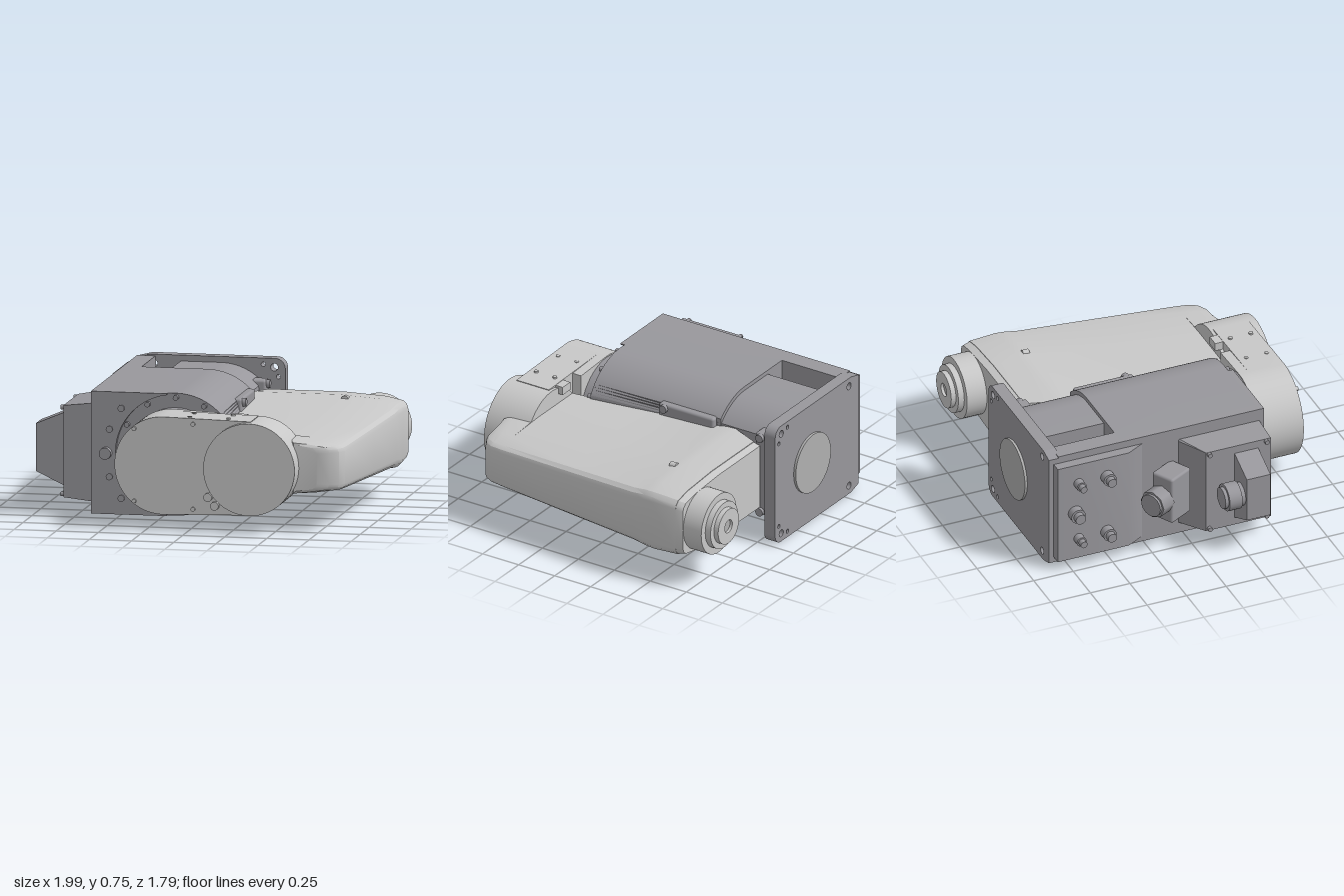
import * as THREE from 'three';
import { toCreasedNormals } from 'three/addons/utils/BufferGeometryUtils.js';
import { RoundedBoxGeometry } from 'three/addons/geometries/RoundedBoxGeometry.js';

export function createModel() {
  const root = new THREE.Group();
  const mat = (name, color) => {
    const m = new THREE.MeshStandardMaterial({ color });
    m.name = name;
    return m;
  };
  const dark = mat('body grey', 0x98979c);
  const light = mat('arm grey', 0xc8c8c8);
  const disc = mat('disc grey', 0xb0b0b0);
  const black = mat('cover grey', 0x5c5c60);
  const CY = 0.385;

  const add = (name, geo, m, parent = root) => {
    const mesh = new THREE.Mesh(geo, m);
    mesh.name = name;
    parent.add(mesh);
    return mesh;
  };
  // box given by its min and max corners
  const box = (name, m, x0, x1, y0, y1, z0, z1, r = 0) => {
    const s = [x1 - x0, y1 - y0, z1 - z0];
    const g = r ? new RoundedBoxGeometry(...s, 3, r) : new THREE.BoxGeometry(...s);
    return add(name, g.translate((x0 + x1) / 2, (y0 + y1) / 2, (z0 + z1) / 2), m);
  };
  // cylinder along z
  const cylZ = (name, m, x, y, z0, z1, r, seg = 48) =>
    add(name, new THREE.CylinderGeometry(r, r, z1 - z0, seg).rotateX(Math.PI / 2).translate(x, y, (z0 + z1) / 2), m);
  // cylinder along x
  const cylX = (name, m, x0, x1, y, z, r, seg = 20) =>
    add(name, new THREE.CylinderGeometry(r, r, x1 - x0, seg).rotateZ(Math.PI / 2).translate((x0 + x1) / 2, y, z), m);
  const extrude = (shape, z0, z1) =>
    new THREE.ExtrudeGeometry(shape, { depth: z1 - z0, bevelEnabled: false, curveSegments: 32 }).translate(0, 0, z0);
  // skin over rings that run anticlockwise seen from +z, ordered by rising z
  const loft = (rings) => {
    const v = [];
    const n = rings[0].length;
    for (let s = 0; s < rings.length - 1; s++) for (let i = 0; i < n; i++) {
      const j = (i + 1) % n;
      const [a, b, c, d] = [rings[s][i], rings[s][j], rings[s + 1][j], rings[s + 1][i]];
      v.push(...a, ...b, ...c, ...a, ...c, ...d);
    }
    const first = rings[0], last = rings[rings.length - 1];
    for (let i = 1; i < n - 1; i++) {
      v.push(...first[0], ...first[i + 1], ...first[i]);
      v.push(...last[0], ...last[i], ...last[i + 1]);
    }
    const g = new THREE.BufferGeometry();
    g.setAttribute('position', new THREE.Float32BufferAttribute(v, 3));
    return toCreasedNormals(g, 0.5);
  };

  // Body: flat on the left, round on the right, trimmed by a slanted side
  const bodyPart = (name, x0, r, z0, z1, limit) => {
    const s = new THREE.Shape();
    s.moveTo(x0, 0.39 - r);
    s.lineTo(-0.15, 0.39 - r);
    s.absarc(-0.15, 0.39, r, -Math.PI / 2, Math.PI / 2, false);
    s.lineTo(x0, 0.39 + r);
    const g = extrude(s, z0, z1);
    const p = g.attributes.position;
    for (let i = 0; i < p.count; i++) p.setX(i, Math.min(p.getX(i), limit(p.getZ(i))));
    return add(name, toCreasedNormals(g, 0.5), dark);
  };
  bodyPart('bodyHousing', -0.65, 0.36, -0.4, 0.47, (z) => 0.13 + z * 0.07);
  bodyPart('rearHousing', -0.39, 0.335, -0.8, -0.4, () => 0.1);
  box('rearWall', dark, -0.65, -0.54, 0.03, 0.75, -0.8, -0.4);
  box('pocketFloor', dark, -0.54, -0.39, 0.03, 0.58, -0.8, -0.4);
  box('bottomCover', black, -0.55, -0.22, 0.022, 0.06, -0.76, -0.42);
  for (const x of [-0.52, -0.385, -0.25]) for (const z of [-0.72, -0.46])
    add('coverBolt', new THREE.CylinderGeometry(0.01, 0.01, 0.012, 10).translate(x, 0.018, z), dark);

  // Front plate cut by the round joint
  const plate = new THREE.Shape();
  plate.moveTo(-0.65, 0.03);
  plate.lineTo(-0.2, 0.03);
  plate.absarc(-0.15, 0.39, 0.355, -Math.PI / 2 - 0.15, Math.PI / 2 + 0.15, true);
  plate.lineTo(-0.2, 0.75);
  plate.lineTo(-0.65, 0.75);
  add('frontPlate', extrude(plate, 0.47, 0.5), dark);
  for (const s of [-1, 1]) for (const [x, y] of [[-0.47, 0.265], [-0.54, 0.14]])
    cylZ('plateBolt', dark, x, 0.39 + s * y, 0.5, 0.51, 0.02, 16);
  cylZ('plateKnob', dark, -0.56, 0.39, 0.5, 0.54, 0.035, 20);
  for (let i = 0; i < 12; i++) {
    const a = (i / 12) * Math.PI * 2;
    cylZ('jointBolt', dark, -0.15 + Math.cos(a) * 0.335, 0.39 + Math.sin(a) * 0.335, 0.47, 0.495, 0.016, 12);
  }

  // Rear flange with mounting holes
  const fl = new THREE.Shape();
  fl.moveTo(-0.65, 0.03);
  fl.lineTo(-0.57, 0.005);
  fl.lineTo(0.17, 0.005);
  fl.absarc(0.17, 0.065, 0.06, -Math.PI / 2, 0, false);
  fl.lineTo(0.23, 0.7);
  fl.absarc(0.17, 0.7, 0.06, 0, Math.PI / 2, false);
  fl.lineTo(-0.57, 0.76);
  fl.lineTo(-0.65, 0.74);
  for (const s of [-1, 1]) for (const [x, y, r] of [[0.165, 0.325, 0.022], [0.1, 0.34, 0.013], [0.19, 0.27, 0.013], [-0.55, 0.325, 0.022]]) {
    const h = new THREE.Path();
    h.absarc(x, 0.3825 + s * y, r, 0, Math.PI * 2, true);
    fl.holes.push(h);
  }
  add('rearFlange', extrude(fl, -0.86, -0.785), dark);
  cylZ('rearDisc', disc, -0.15, CY, -0.875, -0.855, 0.185);

  // Bolted pad between body and arm
  box('sidePad', dark, 0, 0.14, 0.12, 0.65, -0.37, 0.01, 0.015);
  box('sidePadRear', dark, 0, 0.14, 0.12, 0.65, -0.76, -0.66, 0.015);
  for (const y of [0.145, 0.625]) for (const z of [-0.03, -0.7]) cylX('padBolt', dark, 0.12, 0.16, y, z, 0.025);

  // Left rear connector panel
  const slab = (z, x, h) => [[x, CY - h, z], [-0.64, CY - h, z], [-0.64, CY + h, z], [x, CY + h, z]];
  add('connectorPanel', loft([slab(-0.83, -0.71, 0.32), slab(-0.38, -0.71, 0.32), slab(-0.27, -0.65, 0.32)]), dark);
  for (const [y, z, r] of [[0.58, -0.7, 0.03], [0.58, -0.52, 0.04], [0.38, -0.72, 0.045], [0.2, -0.7, 0.03], [0.2, -0.52, 0.04]]) {
    cylX('socket', dark, -0.76, -0.7, y, z, r);
    cylX('socketTip', dark, -0.795, -0.75, y, z, r * 0.7);
  }
  // Tilted plug
  const plug = new THREE.Group();
  plug.name = 'tiltedPlug';
  plug.position.set(-0.7, CY, -0.06);
  plug.rotation.y = 0.5;
  root.add(plug);
  add('plugBase', new RoundedBoxGeometry(0.15, 0.3, 0.18, 2, 0.015).translate(0, 0, -0.07), dark, plug);
  add('plugNeck', new THREE.CylinderGeometry(0.085, 0.085, 0.1, 8).rotateX(Math.PI / 2).translate(0, 0, -0.2), dark, plug);
  add('plugCap', new THREE.CylinderGeometry(0.07, 0.07, 0.02, 24).rotateX(Math.PI / 2).translate(0, 0, -0.255), dark, plug);

  // Left front terminal box and its cable outlet
  const term = (z, x, h) => [[x, CY - h, z], [-0.64, CY - 0.29, z], [-0.64, CY + 0.29, z], [x, CY + h, z]];
  add('terminalBox', loft([term(-0.04, -0.66, 0.28), term(0.06, -0.82, 0.27), term(0.47, -0.82, 0.27)]), dark);
  const out = (z) => [[-1, 0.25, z], [-0.81, 0.16, z], [-0.81, 0.61, z], [-1, 0.53, z]];
  add('cableOutlet', loft([out(0.24), out(0.39)]), dark);
  cylZ('outletNeck', dark, -0.915, CY, 0.21, 0.25, 0.07, 24);
  cylZ('outletGland', dark, -0.915, CY, 0.135, 0.215, 0.083, 24);
  cylZ('outletTip', dark, -0.915, CY, 0.115, 0.14, 0.065, 24);
  for (const y of [0.13, 0.64]) for (const z of [0.08, 0.44]) cylX('boxBolt', dark, -0.84, -0.81, y, z, 0.014, 12);

  // Shoulder joint and link
  cylZ('jointCollar', dark, -0.15, CY, 0.46, 0.56, 0.28);
  const stadium = (x1) => {
    const s = new THREE.Shape();
    s.absarc(-0.15, CY, 0.287, Math.PI / 2, Math.PI * 1.5, false);
    s.lineTo(x1, CY - 0.275);
    s.lineTo(x1, CY + 0.275);
    return s;
  };
  add('linkBase', toCreasedNormals(extrude(stadium(0.12), 0.56, 0.63), 0.5), light);
  add('link', toCreasedNormals(extrude(stadium(0.37), 0.62, 0.845), 0.5), light);
  cylZ('elbowDrum', light, 0.37, CY, 0.6, 0.892, 0.271, 64);
  for (const y of [CY - 0.25, CY + 0.25]) {
    box('linkBracket', light, 0.22, 0.3, y - 0.025, y + 0.025, 0.57, 0.64);
    for (const x of [-0.32, 0.03]) cylZ('linkBolt', light, x, CY + (y - CY) * (x < 0 ? 0.85 : 1), 0.84, 0.858, 0.013, 12);
  }
  for (const x of [0, 0.23]) for (const z of [0.67, 0.8])
    add('linkScrew', new THREE.CylinderGeometry(0.013, 0.013, 0.02, 12).translate(x, 0.663, z), light);
  for (const [x, y] of [[0.12, 0.21], [0.16, 0.16]]) cylZ('linkPin', light, x, y, 0.84, 0.87, 0.025, 16);

  // Forearm: z, inner x, outer x, half height
  const rows = [
    [-0.665, 0.16, 0.985, 0.215], [-0.5, 0.1, 0.99, 0.225], [-0.44, 0.1, 0.985, 0.222], [-0.36, 0.1, 0.98, 0.208],
    [0.1, 0.13, 0.945, 0.187], [0.6, 0.15, 0.905, 0.164], [0.6, 0.59, 0.905, 0.164],
    [0.68, 0.59, 0.895, 0.16], [0.73, 0.59, 0.87, 0.157], [0.76, 0.6, 0.82, 0.153], [0.772, 0.61, 0.75, 0.148],
  ];
  const armRing = ([z, a, b, h]) => {
    const half = [[b, h * 0.6], [b - 0.008, h * 0.72], [b - 0.03, h * 0.82], [Math.max(a, b - 0.13), h * 0.92], [Math.max(a, b - 0.38), h], [a, h]];
    const up = half.map(([x, y]) => [x, CY + y, z]);
    const down = half.map(([x, y]) => [x, CY - y, z]).reverse();
    return [...up, ...down];
  };
  add('forearm', loft(rows.map(armRing)), light);
  add('forearmEndPlate', loft([[-0.71, 0.16, 0.975, 0.2], [-0.66, 0.16, 0.985, 0.212]].map(armRing)), light);
  for (const y of [CY - 0.21, CY + 0.21])
    add('forearmScrew', new THREE.CylinderGeometry(0.022, 0.022, 0.04, 16).rotateX(Math.PI / 2).translate(0.66, y, -0.44), light);

  // Wrist
  cylZ('wristDrum', light, 0.785, CY, -0.835, -0.7, 0.187);
  cylZ('wristRing', light, 0.785, CY, -0.872, -0.83, 0.145);
  add('wristFlange', new THREE.LatheGeometry([[0.04, 0], [0.11, 0], [0.11, 0.04], [0.04, 0.04], [0.04, 0]]
    .map(([x, y]) => new THREE.Vector2(x, y)), 40).toNonIndexed().rotateX(-Math.PI / 2).translate(0.785, CY, -0.862), light)
    .geometry.computeVertexNormals();
  cylZ('wristBore', disc, 0.785, CY, -0.885, -0.865, 0.041, 24);
  return root;
}
